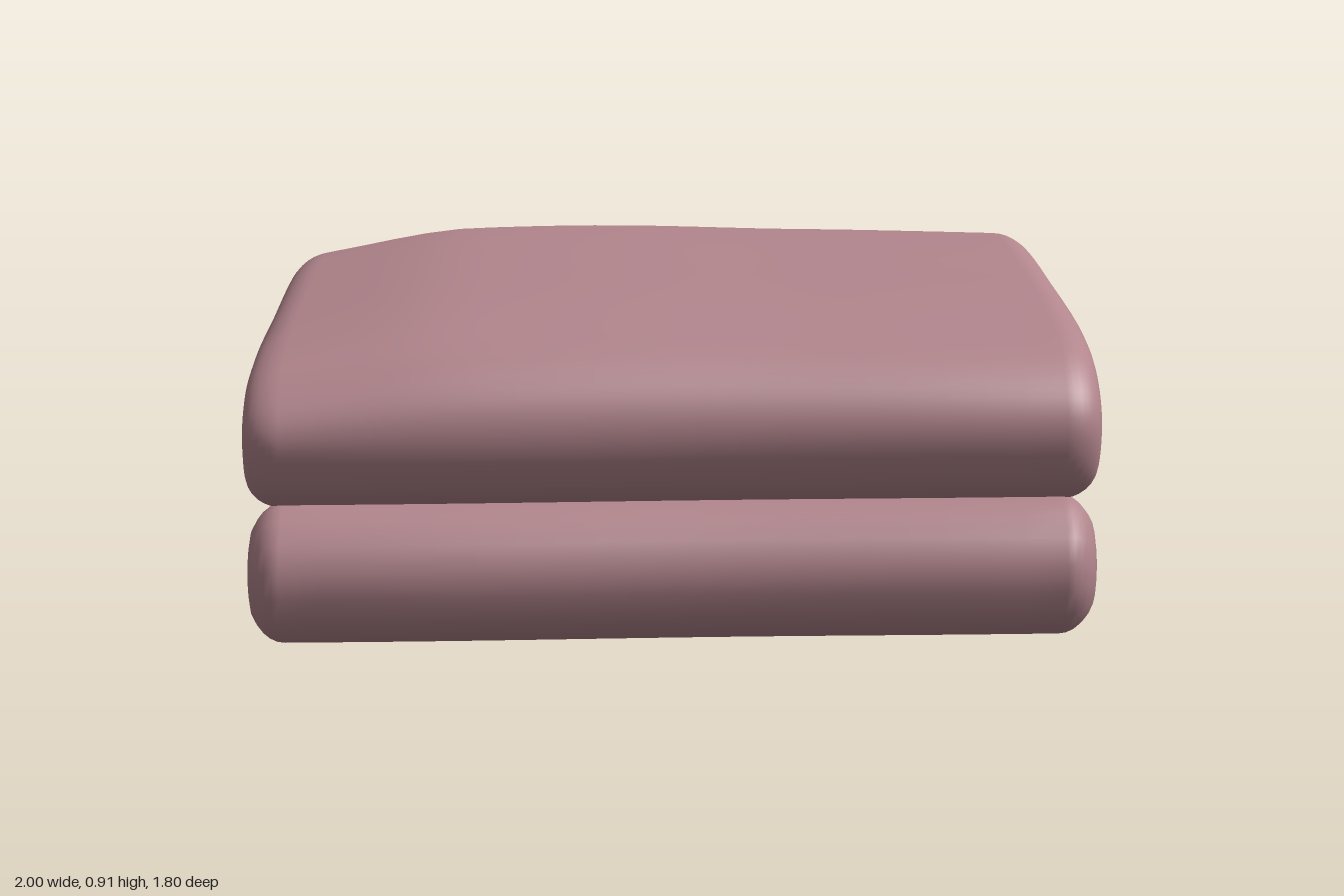
import * as THREE from 'three';

const fabric = new THREE.MeshStandardMaterial({ color: 0xb1858c });
fabric.name = 'dusty pink fabric';

// soft unevenness of the cloth: sagging left edge on top, gentle waves at the ends
function warp(x, y, z) {
  const high = THREE.MathUtils.clamp((y - 0.5) / 0.3, 0, 1);
  const left = THREE.MathUtils.smoothstep(-x, 0.5, 1.15);
  const right = THREE.MathUtils.smoothstep(x, 0.4, 1.2);
  const wave = Math.sin(x * 5 + 2.4);
  return [
    x,
    y - high * (0.09 * left + 0.03 * right) + 0.006 * high * wave + 0.008 * x * (1 - high),
    z - Math.sign(z) * 0.012 * THREE.MathUtils.smoothstep(Math.abs(z), 0.6, 0.85) * (1 + Math.sin(x * 4.5 + Math.sign(z))) / 2,
  ];
}

// padded layer: path points are [z, y, half thickness], running across x0..x1 with rounded edges
function paddedLayer(name, points, x0, x1, { samples = 90, edge = 0.09, dimple = 0 } = {}) {
  const curve = new THREE.CatmullRomCurve3(points.map(([z, y, h]) => new THREE.Vector3(z, y, h)));
  const path = [];
  for (let i = 0; i <= samples; i++) {
    const p = curve.getPoint(i / samples);
    const t = curve.getTangent(i / samples);
    path.push({ z: p.x, y: p.y, h: p.z, a: Math.atan2(t.y, t.x) });
  }
  // outline as centre point, direction and thickness
  const ring = [];
  const add = (p, turn) => ring.push({ z: p.z, y: p.y, dz: Math.cos(p.a + turn) * p.h, dy: Math.sin(p.a + turn) * p.h });
  const capSteps = 8;
  path.forEach(p => add(p, Math.PI / 2));
  for (let k = 1; k < capSteps; k++) add(path[samples], Math.PI / 2 - Math.PI * k / capSteps);
  [...path].reverse().forEach(p => add(p, -Math.PI / 2));
  for (let k = 1; k < capSteps; k++) add(path[0], -Math.PI / 2 - Math.PI * k / capSteps);

  // stations across the width: rounded edge, body, rounded edge
  const rim = [];
  for (let k = 0; k <= 8; k++) {
    const a = k / 8 * Math.PI / 2;
    const scale = Math.pow(Math.cos(a), 0.8);
    const dip = dimple * THREE.MathUtils.smoothstep(k / 8, 0.7, 1);
    rim.push([edge * (1 - Math.sin(a)) + dip, k === 8 ? 0 : scale]);
  }
  const stations = [...rim].reverse().map(([d, s]) => [x0 + d, s]);
  const bodySteps = 20;
  for (let k = 1; k < bodySteps; k++) stations.push([THREE.MathUtils.lerp(x0 + edge, x1 - edge, k / bodySteps), 1]);
  rim.forEach(([d, s]) => stations.push([x1 - d, s]));

  const position = [];
  const index = [];
  const n = ring.length;
  stations.forEach(([x, s], i) => {
    ring.forEach((r, j) => {
      position.push(...warp(x, r.y + r.dy * s, r.z + r.dz * s));
      if (i === stations.length - 1) return;
      const a = i * n + j, b = i * n + (j + 1) % n;
      index.push(a, b, a + n, b, b + n, a + n);
    });
  });
  const geometry = new THREE.BufferGeometry();
  geometry.setAttribute('position', new THREE.Float32BufferAttribute(position, 3));
  geometry.setIndex(index);
  geometry.computeVertexNormals();
  const mesh = new THREE.Mesh(geometry, fabric);
  mesh.name = name;
  return mesh;
}

export function createModel() {
  const blanket = new THREE.Group();
  blanket.name = 'foldedBlanket';

  // main sheet: back hook, top, front fold, middle, lower back fold
  blanket.add(paddedLayer('foldedSheet', [
    [-0.70, 0.53, 0.05], [-0.77, 0.60, 0.09], [-0.765, 0.70, 0.1], [-0.66, 0.79, 0.095],
    [-0.5, 0.81, 0.09], [0, 0.77, 0.09], [0.5, 0.71, 0.09], [0.7, 0.645, 0.09],
    [0.77, 0.56, 0.09], [0.74, 0.465, 0.085], [0.6, 0.435, 0.085], [0.3, 0.455, 0.1],
    [0, 0.475, 0.11], [-0.4, 0.5, 0.12], [-0.6, 0.485, 0.12], [-0.73, 0.41, 0.12],
    [-0.785, 0.28, 0.115], [-0.76, 0.16, 0.115], [-0.65, 0.12, 0.115], [-0.52, 0.125, 0.1],
  ], -1, 1, { samples: 150 }));

  // padding recessed inside the upper fold
  blanket.add(paddedLayer('innerPadding', [
    [0.6, 0.58, 0.09], [0, 0.635, 0.1], [-0.62, 0.67, 0.09],
  ], -0.93, 0.93, { samples: 30, edge: 0.05 }));

  // rolled front edge of the lower fold
  blanket.add(paddedLayer('frontRoll', [
    [0.67, 0.2, 0.15], [0.71, 0.208, 0.158], [0.74, 0.213, 0.165],
  ], -1, 1, { samples: 8, dimple: 0.05 }));

  // lower side hems around the open underside
  const hem = [[0.62, 0.2, 0.11], [0.48, 0.212, 0.135], [0, 0.215, 0.145], [-0.3, 0.205, 0.15], [-0.62, 0.19, 0.15]];
  blanket.add(paddedLayer('leftHem', hem, 0.78, 0.99, { samples: 40 }));
  blanket.add(paddedLayer('rightHem', hem, -0.99, -0.78, { samples: 40 }));

  return blanket;
}
